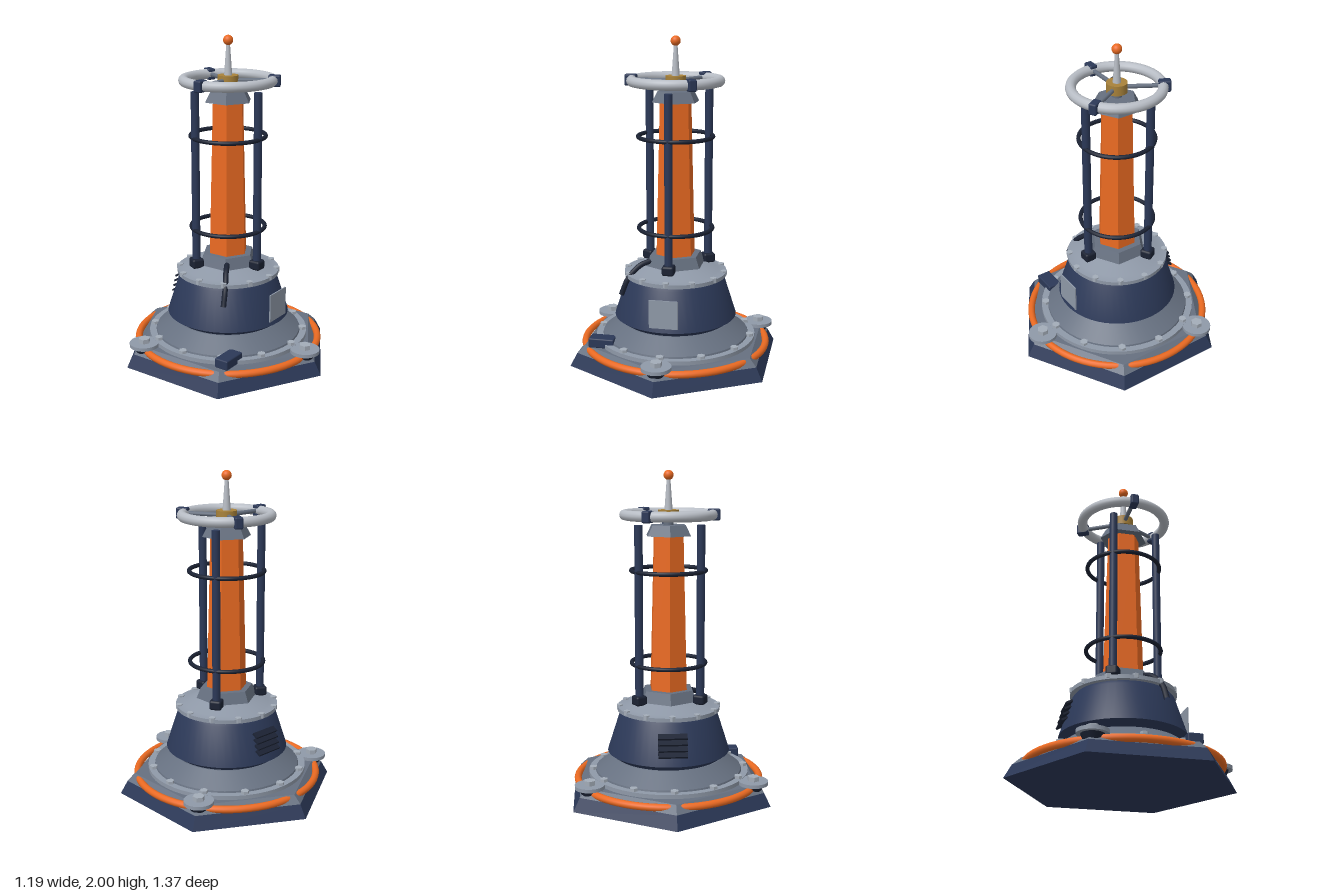
import * as THREE from 'three';
import { toCreasedNormals } from 'three/addons/utils/BufferGeometryUtils.js';
import { RoundedBoxGeometry } from 'three/addons/geometries/RoundedBoxGeometry.js';

const paint = (color, flat = false) => new THREE.MeshStandardMaterial({ color, flatShading: flat });
const navy = paint(0x2b3857), navyFlat = paint(0x2b3857, true);
const steel = paint(0x667080), steelFlat = paint(0x667080, true);
const light = paint(0x8f99a8), lightFlat = paint(0xa3acb8, true);
const pale = paint(0xb8bdc5), dark = paint(0x1b2233);
const orange = paint(0xea6a22), orangeFlat = paint(0xea6a22, true);
const brass = paint(0xa8823a);

export function createModel() {
  const model = new THREE.Group();

  const add = (name, geometry, material, x = 0, y = 0, z = 0, parent = model) => {
    const mesh = new THREE.Mesh(geometry, material);
    mesh.name = name;
    mesh.position.set(x, y, z);
    parent.add(mesh);
    return mesh;
  };
  // Tapered prism or cylinder between two heights
  const taper = (name, rBottom, rTop, y0, y1, sides, material, x = 0, z = 0, parent = model) =>
    add(name, new THREE.CylinderGeometry(rTop, rBottom, y1 - y0, sides), material, x, (y0 + y1) / 2, z, parent);
  // Turned part with crisp corners
  const turned = (name, profile, material) => {
    const points = profile.map(([r, y]) => new THREE.Vector2(r, y));
    return add(name, toCreasedNormals(new THREE.LatheGeometry(points, 48), 0.5), material);
  };
  const hoop = (name, radius, tube, y, material) => {
    const mesh = add(name, new THREE.TorusGeometry(radius, tube, 12, 72), material, 0, y, 0);
    mesh.rotation.x = Math.PI / 2;
    return mesh;
  };
  // Group turned about the axis so that its local +z points outward
  const spoke = (name, angle) => {
    const group = new THREE.Group();
    group.name = name;
    group.rotation.y = angle;
    model.add(group);
    return group;
  };
  const third = (2 * Math.PI) / 3;

  // Hexagonal base, points at front and back
  taper('basePlinth', 0.685, 0.64, 0, 0.08, 6, navyFlat);
  taper('baseDeck', 0.64, 0.59, 0.08, 0.125, 6, steelFlat);
  hoop('bumperRing', 0.57, 0.022, 0.1, orange);

  // Round skirt and main housing
  turned('lowerFlange', [[0, 0.12], [0.5, 0.12], [0.5, 0.15], [0.45, 0.15]], light);
  turned('skirt', [[0.46, 0.145], [0.455, 0.16], [0.34, 0.24], [0, 0.24]], steel);
  turned('housing', [[0, 0.24], [0.33, 0.24], [0.38, 0.275], [0.305, 0.51], [0.285, 0.535], [0, 0.535]], navy);
  turned('upperFlange', [[0, 0.532], [0.318, 0.532], [0.318, 0.556], [0.265, 0.56], [0.195, 0.597], [0, 0.597]], light);

  // Bolt circles on both flanges
  for (let i = 0; i < 12; i++) {
    const a = (i * Math.PI) / 6, s = Math.sin(a), c = Math.cos(a);
    taper('lowerBolt', 0.025, 0.025, 0.14, 0.168, 6, lightFlat, 0.472 * s, 0.472 * c);
    taper('upperBolt', 0.021, 0.021, 0.538, 0.566, 6, lightFlat, 0.304 * s, 0.304 * c);
  }

  // Hexagonal lamp column with collar and cap
  taper('columnCollar', 0.195, 0.165, 0.59, 0.665, 6, steelFlat);
  taper('lampColumn', 0.125, 0.1, 0.66, 1.615, 6, orangeFlat);
  taper('columnCap', 0.15, 0.115, 1.61, 1.675, 6, steelFlat);

  // Three guard posts and three mounting pads, one of each toward the front
  for (let i = 0; i < 3; i++) {
    const arm = spoke('postAndPad', i * third);
    taper('guardPost', 0.025, 0.025, 0.6, 1.68, 12, navy, 0, 0.215, arm);
    add('postFoot', new RoundedBoxGeometry(0.075, 0.06, 0.075, 2, 0.014), dark, 0, 0.617, 0.215, arm);
    taper('padBoss', 0.04, 0.066, 0.065, 0.128, 20, dark, 0, 0.57, arm);
    taper('padDisc', 0.09, 0.09, 0.127, 0.149, 32, light, 0, 0.57, arm);
    taper('padBolt', 0.036, 0.036, 0.147, 0.177, 6, lightFlat, 0, 0.57, arm);
  }
  hoop('lowerGuardHoop', 0.227, 0.013, 0.83, dark);
  hoop('upperGuardHoop', 0.227, 0.013, 1.4, dark);

  // Top handwheel: rim, hub, spokes and clamps
  hoop('wheelRim', 0.265, 0.031, 1.735, pale);
  taper('hubNeck', 0.03, 0.03, 1.67, 1.71, 16, steel);
  taper('wheelHub', 0.062, 0.062, 1.705, 1.765, 28, brass);
  for (let i = 0; i < 3; i++) {
    const arm = spoke('wheelArm', -Math.PI / 2 + i * third);
    const bar = add('wheelSpoke', new THREE.CylinderGeometry(0.013, 0.013, 0.22, 10), steel, 0, 1.735, 0.15, arm);
    bar.rotation.x = Math.PI / 2;
    add('rimClamp', new RoundedBoxGeometry(0.05, 0.07, 0.074, 2, 0.01), navy, 0, 1.735, 0.275, arm);
  }

  // Antenna and beacon
  taper('antenna', 0.025, 0.011, 1.76, 1.95, 16, pale);
  add('beacon', new THREE.SphereGeometry(0.03, 24, 16), orange, 0, 1.97, 0);

  // Front cover plate
  add('coverPlate', new THREE.BoxGeometry(0.175, 0.175, 0.008), light, 0, 0.388, 0.37);

  // Rear louvres, following the sloped wall
  for (let i = 0; i < 4; i++) {
    const y = 0.345 + i * 0.035;
    const slat = add('ventSlat', new THREE.BoxGeometry(0.175, 0.012, 0.04), dark, 0, y, -0.365 + (y - 0.345) * 0.25);
    slat.rotation.x = -0.5;
  }

  // Junction box on the skirt and cable down the housing
  add('junctionBox', new RoundedBoxGeometry(0.16, 0.06, 0.09, 2, 0.008), navy, -0.4, 0.155, 0.285);
  const cable = new THREE.CatmullRomCurve3([
    new THREE.Vector3(-0.14, 0.63, 0.09), new THREE.Vector3(-0.2, 0.605, 0.125),
    new THREE.Vector3(-0.265, 0.53, 0.165), new THREE.Vector3(-0.305, 0.43, 0.18),
  ]);
  add('cable', new THREE.TubeGeometry(cable, 24, 0.017, 10), dark);

  return model;
}
